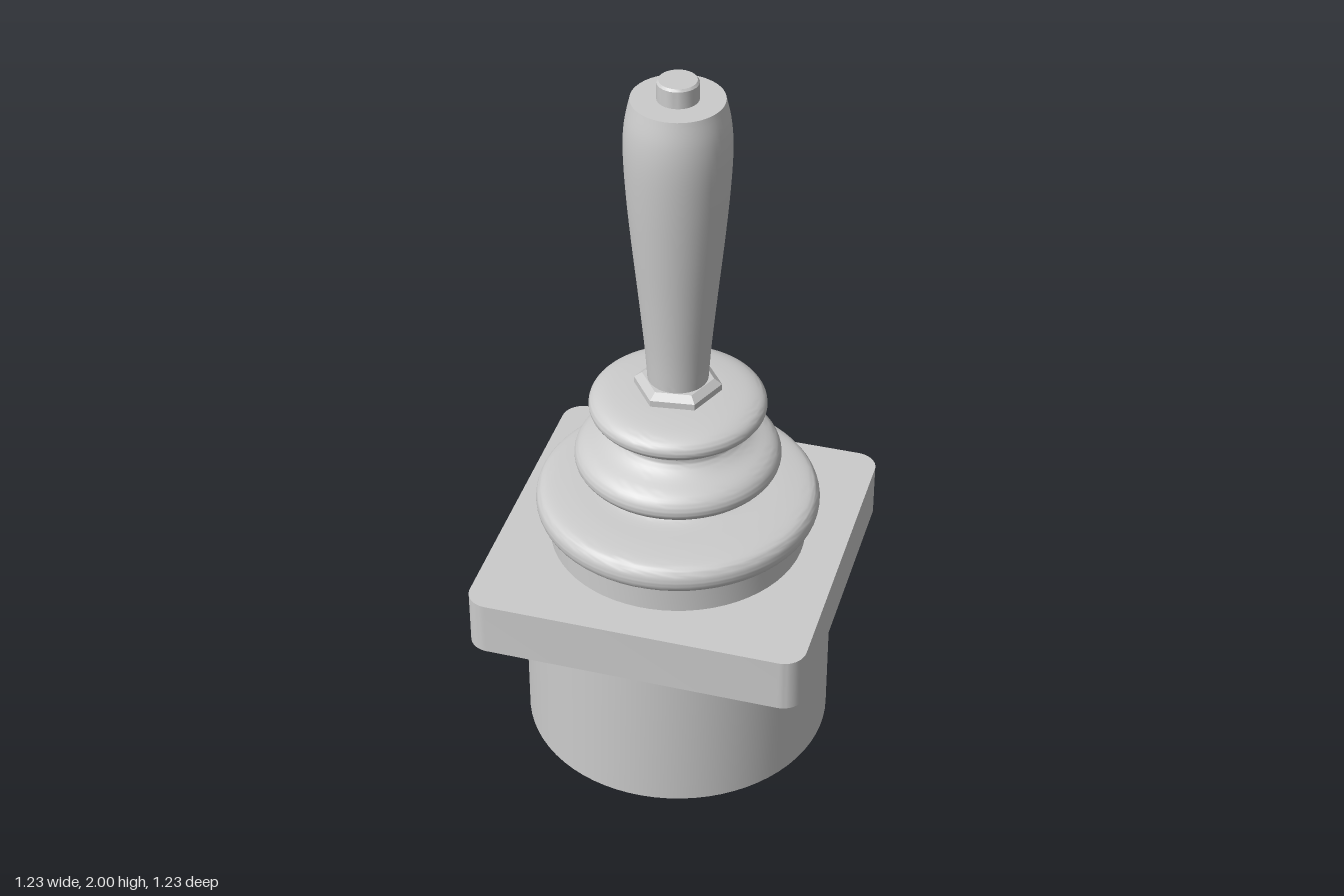
import * as THREE from 'three';
import { toCreasedNormals } from 'three/addons/utils/BufferGeometryUtils.js';

const material = new THREE.MeshStandardMaterial({ color: 0xcccccc });

function part(name, geometry, parent) {
  const mesh = new THREE.Mesh(toCreasedNormals(geometry, 0.6), material);
  mesh.name = name;
  parent.add(mesh);
  return mesh;
}

const vectors = (pairs) => pairs.map(([r, y]) => new THREE.Vector2(r, y));
const smooth = (pairs, n) => new THREE.SplineCurve(vectors(pairs)).getPoints(n);
const lathe = (points, segments = 64) => new THREE.LatheGeometry(points, segments);

// Square mounting plate with rounded corners
function plateGeometry(h, r, depth) {
  const s = new THREE.Shape();
  const c = h - r;
  s.absarc(c, c, r, 0, Math.PI / 2);
  s.absarc(-c, c, r, Math.PI / 2, Math.PI);
  s.absarc(-c, -c, r, Math.PI, Math.PI * 1.5);
  s.absarc(c, -c, r, Math.PI * 1.5, Math.PI * 2);
  return new THREE.ExtrudeGeometry(s, { depth, bevelEnabled: false, curveSegments: 6 })
    .rotateX(-Math.PI / 2);
}

export function createModel() {
  const group = new THREE.Group();
  group.name = 'joystick';

  // Cylindrical housing under the plate
  part('housing', new THREE.CylinderGeometry(0.42, 0.42, 0.456, 72).translate(0, 0.228, 0), group);

  // Turned mounting plate
  const plate = part('mountingPlate', plateGeometry(0.457, 0.06, 0.154), group);
  plate.position.y = 0.456;
  plate.rotation.y = -0.653;

  // Round-headed screws under the plate corners
  const screws = new THREE.Group();
  screws.name = 'screws';
  screws.position.set(0.008, 0, -0.013);
  group.add(screws);
  const screwProfile = vectors([
    [0, 0.404], [0.012, 0.407], [0.021, 0.417], [0.026, 0.434], [0.01, 0.436], [0.01, 0.458],
  ]);
  for (let i = 0; i < 4; i++) {
    const arm = new THREE.Group();
    arm.rotation.y = 0.106 + i * Math.PI / 2;
    part('screw', lathe(screwProfile, 16).translate(0.551, 0, 0), arm);
    screws.add(arm);
  }

  // Rubber boot: straight skirt, wide shoulder and two bellows
  const boot = [
    ...vectors([[0.345, 0.608], [0.345, 0.68]]),
    ...smooth([[0.352, 0.688], [0.373, 0.703], [0.381, 0.73], [0.373, 0.757], [0.35, 0.771],
      [0.29, 0.779], [0.21, 0.784], [0.182, 0.797], [0.195, 0.817], [0.245, 0.836],
      [0.272, 0.862], [0.272, 0.89], [0.25, 0.915], [0.2, 0.938], [0.173, 0.962],
      [0.18, 0.988], [0.215, 1.007], [0.234, 1.03], [0.227, 1.055], [0.195, 1.071],
      [0.14, 1.079], [0.08, 1.082]], 100),
  ];
  part('boot', lathe(boot), group);

  // Chamfered hexagonal lock nut
  part('lockNut', lathe(vectors([
    [0.09, 1.075], [0.116, 1.086], [0.116, 1.104], [0.095, 1.12], [0, 1.12],
  ]), 6), group);

  // Tapered grip, swelling toward the top
  const grip = [
    ...smooth([[0.08, 1.118], [0.087, 1.22], [0.102, 1.38], [0.118, 1.54], [0.13, 1.68],
      [0.136, 1.8], [0.132, 1.88], [0.118, 1.948]], 40),
    ...vectors([[0, 1.948]]),
  ];
  part('grip', lathe(grip, 48), group);

  // Push button on top of the grip
  part('button', lathe(vectors([[0.053, 1.945], [0.053, 1.994], [0.048, 2], [0, 2]]), 32), group);

  return group;
}
